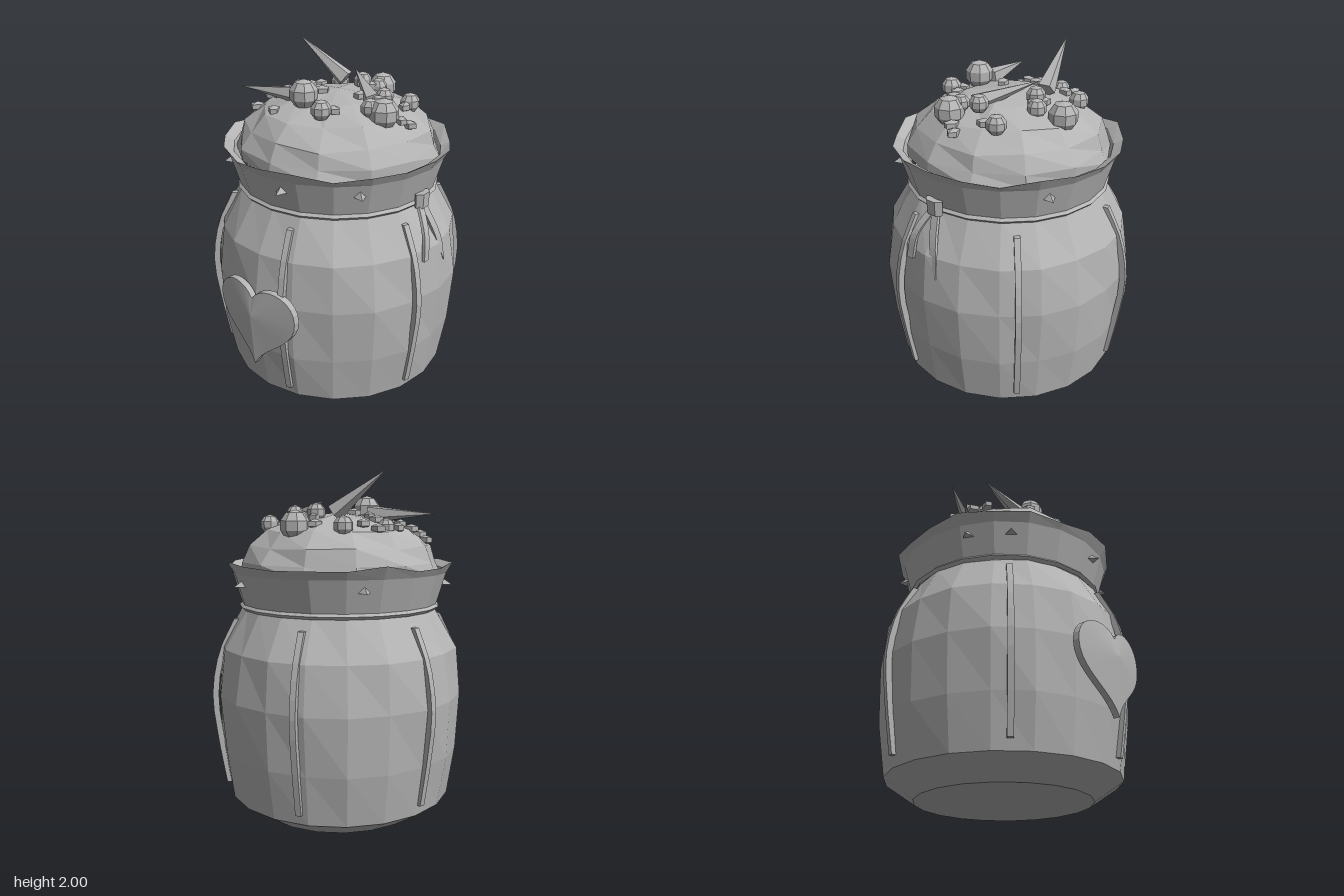
import * as THREE from 'three';

const grey = new THREE.MeshStandardMaterial({ color: 0xb4b4b4, flatShading: true });
grey.name = 'plainGrey';
const CX = -0.01, CZ = -0.03; // axis of the sack
const V = (x, y, z) => new THREE.Vector3(x, y, z);
const rad = THREE.MathUtils.degToRad;

export function createModel() {
  const model = new THREE.Group();
  model.name = 'berrySack';

  const add = (name, geometry, parent = model) => {
    const mesh = new THREE.Mesh(geometry, grey);
    mesh.name = name;
    parent.add(mesh);
    return mesh;
  };
  const group = (name) => {
    const g = new THREE.Group();
    g.name = name;
    model.add(g);
    return g;
  };

  // Turned shape around the sack axis; rule(angle, row) returns [radius, height] offsets
  const turned = (profile, sides, rule) => {
    const geo = new THREE.LatheGeometry(profile.map(([r, y]) => new THREE.Vector2(r, y)), sides);
    const p = geo.attributes.position;
    for (let i = 0; i < p.count; i++) {
      const row = i % profile.length;
      const a = Math.floor(i / profile.length) % sides / sides * Math.PI * 2;
      const [dr, dy] = rule(a, row);
      const r = profile[row][0] ? profile[row][0] + dr : 0;
      p.setXYZ(i, CX + Math.sin(a) * r, p.getY(i) + dy, CZ + Math.cos(a) * r);
    }
    geo.computeVertexNormals();
    return geo;
  };

  // Flat strip along a path running upwards, facing outwards at the given angle
  const strip = (points, angle, thick, width) => {
    const curve = new THREE.CatmullRomCurve3(points);
    const geo = new THREE.BoxGeometry(1, 1, thick, 1, 10, 1);
    const out = V(Math.sin(angle), 0, Math.cos(angle));
    const side = V(Math.cos(angle), 0, -Math.sin(angle));
    const p = geo.attributes.position;
    for (let i = 0; i < p.count; i++) {
      const t = THREE.MathUtils.clamp(p.getY(i) + 0.5, 0, 1);
      const v = curve.getPoint(t)
        .addScaledVector(side, p.getX(i) * width(t))
        .addScaledVector(out, p.getZ(i));
      p.setXYZ(i, v.x, v.y, v.z);
    }
    geo.computeVertexNormals();
    return geo;
  };

  // Sack body with a flat, bevelled base
  add('sackBody', turned(
    [[0, 0], [0.5, 0], [0.665, 0.11], [0.71, 0.4], [0.73, 0.73], [0.695, 1.0], [0.565, 1.23]],
    20, (a, row) => row > 2 ? [0.006 * Math.sin(7 * a + row * 2), 0] : [0, 0]));

  // Flared cloth collar with an uneven rim
  add('collar', turned(
    [[0.565, 1.21], [0.58, 1.26], [0.63, 1.43], [0.66, 1.48], [0.605, 1.45], [0.575, 1.38]],
    20, (a, row) => {
      const wave = Math.sin(5 * a + 0.6) * 0.5 + Math.sin(8 * a) * 0.5;
      return row === 3 ? [0.012 * wave, 0.024 * wave] : row === 4 ? [0.008 * wave, 0.015 * wave] : [0, 0];
    }));

  // Cord around the neck
  const cord = new THREE.TorusGeometry(0.575, 0.017, 4, 20);
  cord.rotateX(Math.PI / 2);
  add('neckCord', cord).position.set(CX, 1.235, CZ);

  // Domed filling
  const dome = [[0.59, 1.42], [0.575, 1.49], [0.53, 1.58], [0.43, 1.67], [0.24, 1.735], [0, 1.77]];
  add('filling', turned(dome, 13, (a, row) =>
    [0.012 * Math.sin(4 * a + row * 3), row > 1 && row < 5 ? 0.008 * Math.sin(5 * a + row) : 0]));
  const domeY = (x, z) => {
    const r = Math.hypot(x - CX, z - CZ);
    for (let i = 1; i < dome.length; i++) {
      const [r0, y0] = dome[i - 1], [r1, y1] = dome[i];
      if (r >= r1) return y1 + (y0 - y1) * (r - r1) / (r0 - r1);
    }
    return 1.77;
  };

  // Six seams down the body
  const seams = group('seams');
  for (let i = 0; i < 6; i++) {
    const a = rad(14 + 60 * i);
    const path = [[0.675, 0.17], [0.72, 0.45], [0.745, 0.72], [0.7, 0.97], [0.61, 1.16]]
      .map(([r, y]) => V(CX + Math.sin(a) * r, y, CZ + Math.cos(a) * r));
    add('seam', strip(path, a, 0.035, () => 0.034), seams);
  }

  // Knot and two tails on the left side
  const bow = group('bow');
  const knot = add('knot', new THREE.CylinderGeometry(0.045, 0.04, 0.085, 6), bow);
  knot.scale.set(0.8, 1, 1.35);
  knot.position.set(0.585, 1.255, -0.015);
  add('bluntTail', strip([V(0.69, 0.95, 0.085), V(0.665, 1.1, 0.06), V(0.58, 1.24, 0)],
    Math.PI / 2, 0.018, () => 0.045), bow);
  add('pointedTail', strip([V(0.69, 0.88, -0.105), V(0.66, 1.05, -0.065), V(0.58, 1.24, -0.02)],
    Math.PI / 2, 0.018, (t) => t < 0.35 ? 0.004 + t * 0.13 : 0.048), bow);

  // Heart patch, wrapped slightly around the body
  const outline = new THREE.Shape();
  outline.moveTo(0, 0.33);
  outline.bezierCurveTo(0.06, 0.47, 0.275, 0.52, 0.275, 0.685);
  outline.bezierCurveTo(0.275, 0.85, 0.06, 0.87, 0, 0.765);
  outline.bezierCurveTo(-0.06, 0.87, -0.275, 0.85, -0.275, 0.685);
  outline.bezierCurveTo(-0.275, 0.52, -0.06, 0.47, 0, 0.33);
  const rim = outline.getPoints(10);
  const tris = [];
  const frontMid = [0, 0.66, 0.765], backMid = [0, 0.66, 0.715];
  const rimZ = (q) => 0.745 - 0.14 * Math.abs(q.x);
  for (let i = 0; i < rim.length - 1; i++) {
    const p = rim[i], q = rim[i + 1];
    const pf = [p.x, p.y, rimZ(p)], qf = [q.x, q.y, rimZ(q)];
    const pb = [p.x, p.y, rimZ(p) - 0.037], qb = [q.x, q.y, rimZ(q) - 0.037];
    tris.push(...frontMid, ...pf, ...qf, ...backMid, ...qb, ...pb);
    tris.push(...pf, ...pb, ...qf, ...qf, ...pb, ...qb);
  }
  const heart = new THREE.BufferGeometry();
  heart.setAttribute('position', new THREE.Float32BufferAttribute(tris, 3));
  heart.computeVertexNormals();
  add('heartPatch', heart);

  // Small barbs poking out of the collar
  const barbs = group('collarBarbs');
  for (const deg of [9, 49, 150, 225, 292, 315]) {
    const a = rad(deg);
    const barb = add('barb', new THREE.ConeGeometry(0.07, 0.05, 3), barbs);
    barb.position.set(CX + Math.sin(a) * 0.59, 1.385, CZ + Math.cos(a) * 0.59);
    barb.rotation.y = a;
  }

  // Long spikes: base, tip
  const spikes = group('spikes');
  for (const [base, tip] of [
    [V(-0.1, 1.77, -0.22), V(-0.39, 2.0, -0.15)],
    [V(0.25, 1.74, -0.01), V(-0.04, 1.84, -0.23)],
    [V(-0.09, 1.76, 0.18), V(-0.5, 1.76, 0.25)],
  ]) {
    const dir = tip.clone().sub(base);
    const spike = add('spike', new THREE.ConeGeometry(0.055, dir.length(), 5), spikes);
    spike.position.copy(base).addScaledVector(dir, 0.5);
    spike.quaternion.setFromUnitVectors(V(0, 1, 0), dir.normalize());
  }

  // Round berries: x, y, z, radius
  const berries = group('berries');
  for (const [x, y, z, r] of [
    [0.02, 1.7, -0.43, 0.085], [-0.24, 1.7, -0.35, 0.057], [0.08, 1.73, -0.3, 0.055],
    [0.01, 1.77, -0.24, 0.055], [0.34, 1.7, -0.24, 0.057], [-0.38, 1.69, -0.13, 0.05],
    [0.28, 1.76, -0.07, 0.053], [0.37, 1.715, 0.06, 0.085], [0.31, 1.75, 0.03, 0.048],
    [0.3, 1.74, 0.09, 0.053], [-0.05, 1.785, 0.22, 0.082], [0.12, 1.74, 0.28, 0.057],
  ]) {
    add('berry', new THREE.SphereGeometry(r, 8, 5), berries).position.set(x, y, z);
  }

  // Small crumbs resting on the filling: x, z
  const crumbs = group('crumbs');
  [[-0.38, -0.22], [-0.29, -0.22], [-0.42, -0.07], [-0.29, -0.08], [-0.23, -0.06], [-0.43, 0.07],
    [-0.35, 0.09], [-0.48, 0.15], [-0.42, 0.2], [-0.18, 0.32], [-0.06, 0.05], [0.07, 0.24],
    [0.15, 0.21], [-0.07, -0.37], [0, -0.28], [0.06, -0.26], [0.35, -0.17], [0.46, -0.05],
    [0.15, -0.03], [0.43, -0.01]].forEach(([x, z], i) => {
    const crumb = add('crumb', new THREE.SphereGeometry(0.046, 5, 3), crumbs);
    crumb.scale.set(1.1, 0.6, 0.8);
    crumb.rotation.y = i * 1.3;
    crumb.position.set(x, domeY(x, z) + 0.01, z);
  });

  return model;
}
